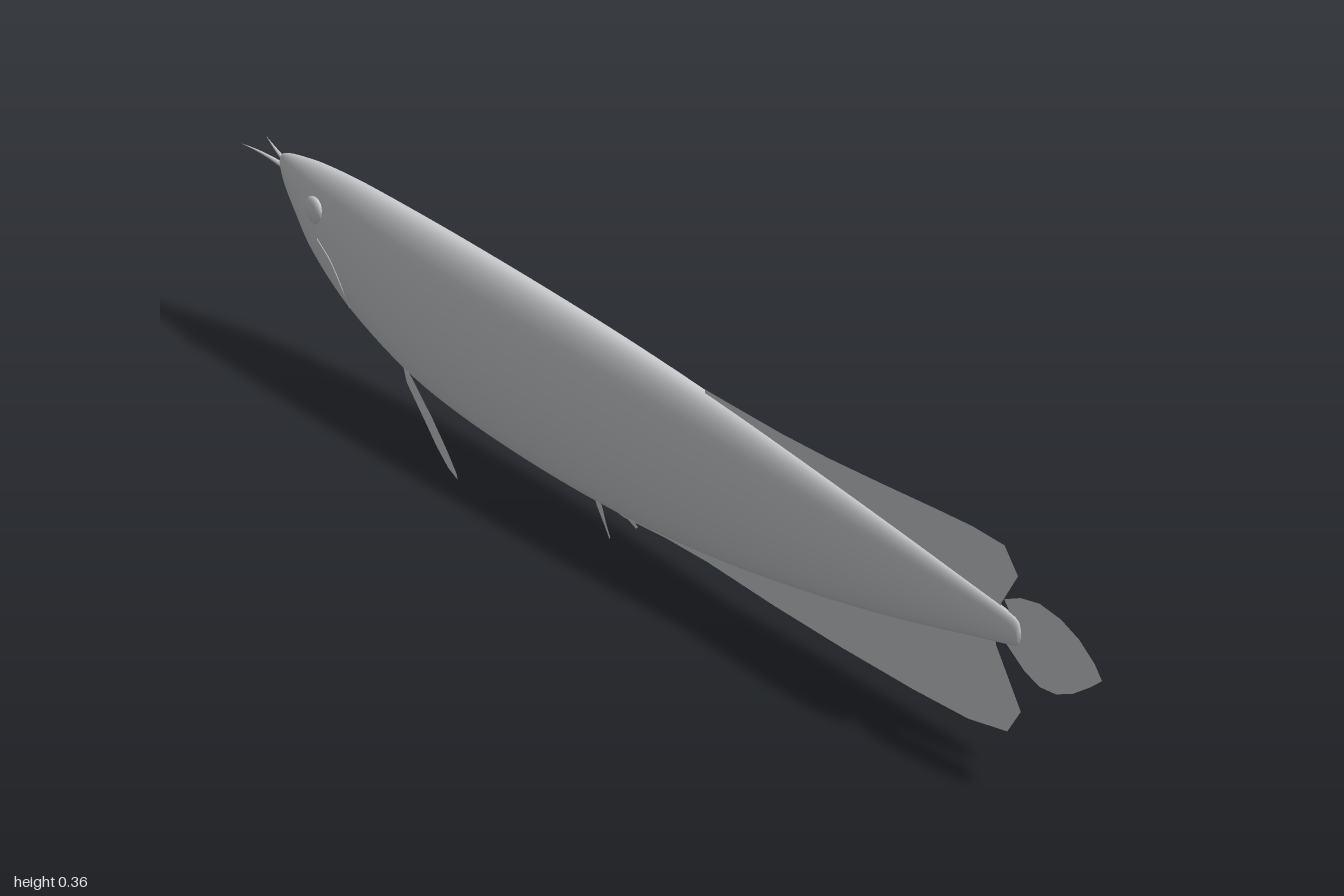
import * as THREE from 'three';

const silver = new THREE.MeshStandardMaterial({ color: 0xc8cacc });
silver.name = 'silver';
const finSilver = new THREE.MeshStandardMaterial({ color: 0xc8cacc, side: THREE.DoubleSide });
finSilver.name = 'fin silver';

// Body stations from snout to tail: z, top, bottom, half width
const STATIONS = [
  [-0.918, 0.33, 0.322, 0.001], [-0.912, 0.339, 0.306, 0.008], [-0.89, 0.346, 0.272, 0.016],
  [-0.85, 0.352, 0.23, 0.026], [-0.8, 0.357, 0.18, 0.035], [-0.7, 0.36, 0.12, 0.044],
  [-0.55, 0.357, 0.07, 0.052], [-0.4, 0.352, 0.046, 0.055], [-0.2, 0.343, 0.035, 0.054],
  [0, 0.331, 0.037, 0.05], [0.2, 0.314, 0.053, 0.043], [0.4, 0.291, 0.083, 0.034],
  [0.6, 0.265, 0.125, 0.023], [0.75, 0.244, 0.164, 0.014], [0.82, 0.234, 0.182, 0.01],
  [0.843, 0.227, 0.189, 0.006], [0.85, 0.212, 0.203, 0.001],
];
const sizeCurve = new THREE.CatmullRomCurve3(
  STATIONS.map(([, t, b, w]) => new THREE.Vector3(t, b, w)), false, 'catmullrom', 0.5);
const zCurve = new THREE.CatmullRomCurve3(
  STATIONS.map(([z]) => new THREE.Vector3(z, 0, 0)), false, 'catmullrom', 0.5);

// Point on the body: t along the length, a around it from the back
function skin(t, a) {
  const s = sizeCurve.getPoint(t), z = zCurve.getPoint(t).x;
  const c = Math.cos(a);
  const keel = c < 0 ? 1 - 0.1 * c * c : 1; // slightly narrowed belly
  return new THREE.Vector3(s.z * Math.sin(a) * keel, (s.x + s.y) / 2 + c * (s.x - s.y) / 2, z);
}

function bodyGeometry(rows = 80, sides = 48) {
  const pos = [], index = [];
  for (let i = 0; i <= rows; i++) {
    for (let j = 0; j < sides; j++) {
      pos.push(...skin(i / rows, (j / sides) * Math.PI * 2).toArray());
      if (i === rows) continue;
      const a = i * sides + j, b = i * sides + (j + 1) % sides;
      index.push(a, a + sides, b, b, a + sides, b + sides);
    }
  }
  // close both tiny ends
  const last = rows * sides;
  for (let j = 1; j < sides - 1; j++) index.push(0, j, j + 1, last, last + j + 1, last + j);
  const g = new THREE.BufferGeometry();
  g.setAttribute('position', new THREE.Float32BufferAttribute(pos, 3));
  g.setIndex(index);
  g.computeVertexNormals();
  return g;
}

// Flat fin from a (z, y) outline in the middle plane
function finGeometry(points) {
  const shape = new THREE.Shape(points.map(([z, y]) => new THREE.Vector2(z, y)));
  return new THREE.ShapeGeometry(shape).rotateY(-Math.PI / 2);
}

// Flat fin leaning outwards: x grows with z
function pairedFin(points, z0, x0, slope, side) {
  const g = finGeometry(points), p = g.attributes.position;
  for (let i = 0; i < p.count; i++) p.setX(i, side * (x0 + slope * (p.getZ(i) - z0)));
  g.computeVertexNormals();
  return g;
}

// Nearest body point for a given z and y, on one flank
function flank(z, y, side) {
  let lo = 0, hi = 1;
  for (let i = 0; i < 30; i++) {
    const m = (lo + hi) / 2;
    if (zCurve.getPoint(m).x < z) lo = m; else hi = m;
  }
  const s = sizeCurve.getPoint(lo);
  const c = THREE.MathUtils.clamp((2 * y - s.x - s.y) / (s.x - s.y), -1, 1);
  const p = skin(lo, Math.acos(c));
  p.x *= side;
  return p;
}

export function createModel() {
  const model = new THREE.Group();
  model.name = 'fish';
  const add = (name, geometry, material = silver) => {
    const mesh = new THREE.Mesh(geometry, material);
    mesh.name = name;
    model.add(mesh);
    return mesh;
  };

  add('body', bodyGeometry());

  // Middle fins
  add('dorsalFin', finGeometry([
    [0.19, 0.29], [0.19, 0.321], [0.25, 0.319], [0.36, 0.316], [0.46, 0.317], [0.57, 0.322],
    [0.68, 0.328], [0.75, 0.331], [0.81, 0.328], [0.838, 0.293], [0.81, 0.24], [0.81, 0.21],
    [0.5, 0.25],
  ]), finSilver);
  add('analFin', finGeometry([
    [-0.05, 0.06], [-0.05, 0.036], [0, 0.03], [0.1, 0.037], [0.2, 0.038], [0.35, 0.031],
    [0.5, 0.028], [0.65, 0.029], [0.76, 0.034], [0.835, 0.05], [0.858, 0.092], [0.805, 0.172],
    [0.8, 0.2], [0.5, 0.13], [0.2, 0.08],
  ]), finSilver);
  add('tailFin', finGeometry([
    [0.8, 0.2], [0.83, 0.178], [0.86, 0.157], [0.89, 0.146], [0.92, 0.149], [0.95, 0.164],
    [0.98, 0.188], [1, 0.207], [0.985, 0.226], [0.955, 0.249], [0.92, 0.264], [0.88, 0.27],
    [0.845, 0.263], [0.815, 0.248], [0.825, 0.235], [0.8, 0.215],
  ]), finSilver);

  for (const side of [1, -1]) {
    const tag = side > 0 ? 'Left' : 'Right';

    add('pectoralFin' + tag, pairedFin([
      [-0.555, 0.08], [-0.53, 0.085], [-0.5, 0.078], [-0.415, 0.055], [-0.35, 0.032],
      [-0.305, 0.012], [-0.3, 0.003], [-0.345, 0.002], [-0.4, 0.014], [-0.45, 0.031], [-0.54, 0.06],
    ], -0.55, 0.018, 0.31, side), finSilver);

    add('pelvicFin' + tag, pairedFin([
      [-0.06, 0.045], [-0.03, 0.044], [-0.015, 0.022], [0.002, 0.004], [-0.002, 0],
      [-0.02, 0.014], [-0.05, 0.034],
    ], -0.06, 0.01, 0.28, side), finSilver);

    // Bulging eye
    const eye = add('eye' + tag, new THREE.SphereGeometry(1, 24, 16));
    eye.scale.set(0.009, 0.024, 0.024);
    eye.position.copy(flank(-0.77, 0.293, side));

    // Gill cover edge, nearly flush with the skin
    const edge = [[-0.76, 0.245], [-0.72, 0.22], [-0.695, 0.18], [-0.695, 0.14]]
      .map(([z, y]) => flank(z, y, side));
    add('gillEdge' + tag, new THREE.TubeGeometry(new THREE.CatmullRomCurve3(edge), 20, 0.0015, 6));

    // Barbel on the snout, tapering to its tip
    const path = new THREE.QuadraticBezierCurve3(
      new THREE.Vector3(side * 0.004, 0.318, -0.9),
      new THREE.Vector3(side * 0.01, 0.33, -0.95),
      new THREE.Vector3(side * 0.025, 0.335, -1));
    const barbel = new THREE.TubeGeometry(path, 12, 0.005, 8);
    const p = barbel.attributes.position, v = new THREE.Vector3();
    for (let i = 0; i < p.count; i++) {
      const t = Math.floor(i / 9) / 12, c = path.getPointAt(t);
      v.fromBufferAttribute(p, i).sub(c).multiplyScalar(1 - 0.95 * t).add(c);
      p.setXYZ(i, v.x, v.y, v.z);
    }
    add('barbel' + tag, barbel);
  }
  return model;
}
